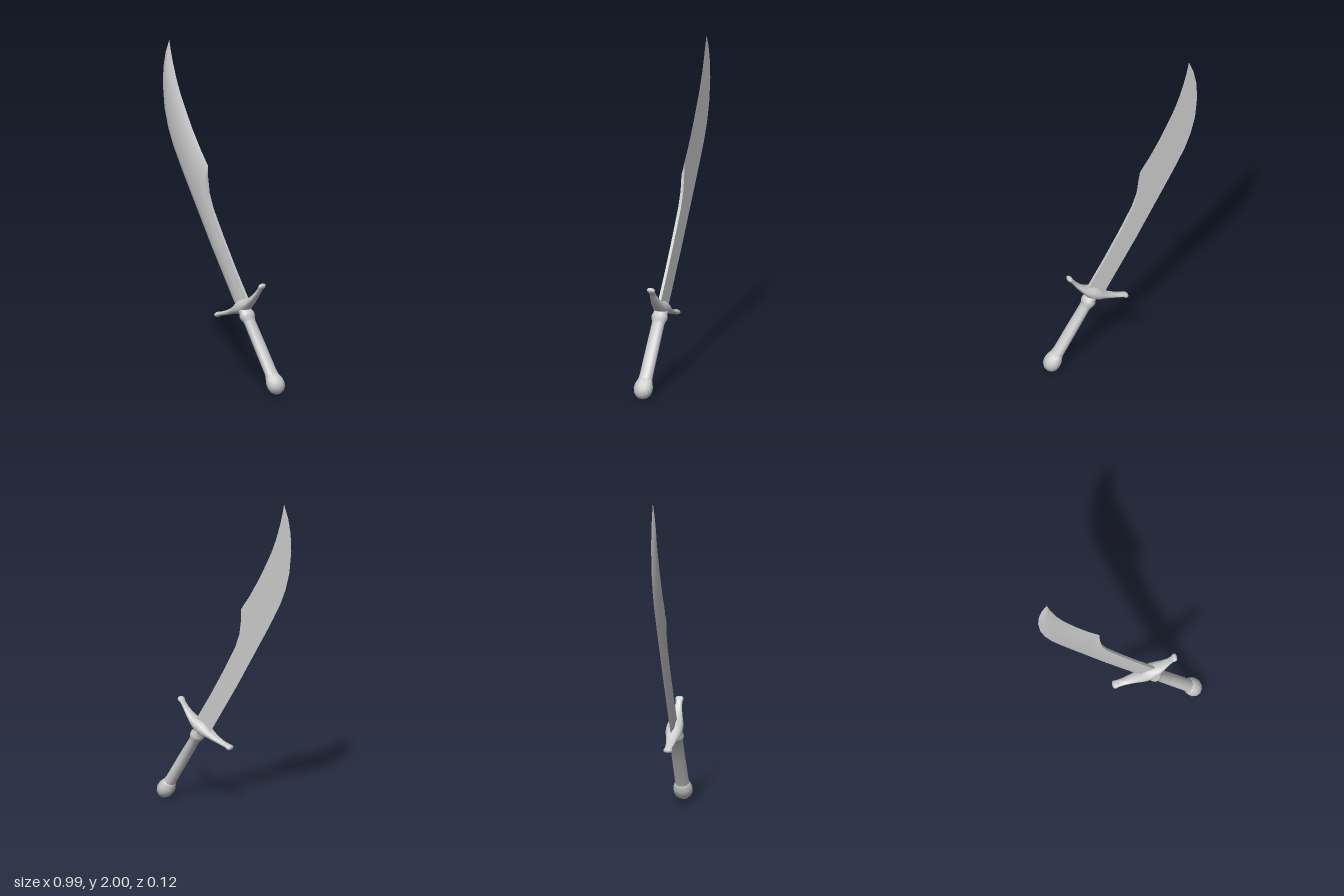
import * as THREE from 'three';
import { toCreasedNormals } from 'three/addons/utils/BufferGeometryUtils.js';

const BACK = -0.01, FRONT = 0.008;

// Skin a series of equal-length rings and close both ends.
function skin(rings, crease) {
  const n = rings[0].length, pos = [], idx = [];
  rings.forEach(r => r.forEach(p => pos.push(p.x, p.y, p.z)));
  for (let i = 0; i < rings.length - 1; i++) {
    for (let j = 0; j < n; j++) {
      const k = (j + 1) % n;
      const a = i * n + j, b = i * n + k, c = a + n, d = b + n;
      idx.push(a, b, d, a, d, c);
    }
  }
  [0, rings.length - 1].forEach(i => {
    const mid = new THREE.Vector3();
    rings[i].forEach(p => mid.addScaledVector(p, 1 / n));
    const m = pos.push(mid.x, mid.y, mid.z) / 3 - 1;
    for (let j = 0; j < n; j++) {
      const a = i * n + j, b = i * n + (j + 1) % n;
      if (i === 0) idx.push(m, b, a); else idx.push(m, a, b);
    }
  });
  const g = new THREE.BufferGeometry();
  g.setAttribute('position', new THREE.Float32BufferAttribute(pos, 3));
  g.setIndex(idx);
  return toCreasedNormals(g, crease);
}

// Elliptical rod through stations [x, y, half width in plane, half depth].
function rod(stations, sides) {
  const last = stations.length - 1;
  return skin(stations.map(([x, y, w, d], i) => {
    const p = stations[Math.max(i - 1, 0)], q = stations[Math.min(i + 1, last)];
    const t = new THREE.Vector2(q[0] - p[0], q[1] - p[1]).normalize();
    return Array.from({ length: sides }, (_, j) => {
      const a = j / sides * Math.PI * 2, c = Math.cos(a) * w;
      return new THREE.Vector3(x - t.y * c, y + t.x * c, Math.sin(a) * d);
    });
  }), 1.3);
}

function bladeGeometry() {
  // Cutting edge x, y, spine x, y, then 1 where the spine is a square wall.
  const stations = [
    [0.10, 0.48, 0.204, 0.542, 1],
    [0.00, 0.645, 0.103, 0.706, 1],
    [-0.10, 0.81, 0.00, 0.886, 1],
    [-0.20, 0.985, -0.082, 1.04, 1],
    [-0.243, 1.06, -0.114, 1.13, 1],
    [-0.283, 1.13, -0.127, 1.225, 1],
    [-0.312, 1.18, -0.127, 1.288, 0],
    [-0.362, 1.27, -0.188, 1.378, 0],
    [-0.415, 1.37, -0.257, 1.495, 0],
    [-0.455, 1.47, -0.31, 1.598, 0],
    [-0.484, 1.58, -0.352, 1.685, 0],
    [-0.498, 1.72, -0.385, 1.77, 0],
    [-0.493, 1.83, -0.413, 1.86, 0],
    [-0.475, 1.92, -0.431, 1.93, 0],
    [-0.445, 2.00, -0.445, 2.00, 0],
  ];
  return skin(stations.map(([lx, ly, rx, ry, wall]) => {
    const width = Math.hypot(rx - lx, ry - ly);
    const bevel = width ? Math.min(0.035 / width, 0.45) : 0;
    const at = (s, z) => new THREE.Vector3(lx + (rx - lx) * s, ly + (ry - ly) * s, z);
    const ridge = width ? Math.min(FRONT, BACK + width * 0.25) : BACK;
    return [at(0, BACK), at(bevel, ridge), at(1 - bevel, ridge),
      at(1, wall ? FRONT : BACK), at(1, BACK)];
  }), 0.75);
}

export function createModel() {
  const group = new THREE.Group();
  const material = new THREE.MeshStandardMaterial({ color: 0xcccccc });
  const add = (name, geometry) => {
    const mesh = new THREE.Mesh(geometry, material);
    mesh.name = name;
    group.add(mesh);
  };

  add('blade', bladeGeometry());

  // Crossguard: curved arms with small knobs and a swollen middle
  add('crossguard', rod([
    [-0.050, 0.402, 0.006, 0.012],
    [-0.045, 0.404, 0.013, 0.024],
    [-0.033, 0.408, 0.016, 0.027],
    [-0.018, 0.414, 0.012, 0.023],
    [0.02, 0.424, 0.013, 0.024],
    [0.07, 0.442, 0.017, 0.031],
    [0.11, 0.460, 0.023, 0.041],
    [0.14, 0.474, 0.036, 0.048],
    [0.168, 0.489, 0.042, 0.050],
    [0.196, 0.506, 0.036, 0.049],
    [0.225, 0.525, 0.024, 0.043],
    [0.26, 0.556, 0.017, 0.031],
    [0.29, 0.591, 0.013, 0.022],
    [0.312, 0.621, 0.012, 0.020],
    [0.324, 0.636, 0.016, 0.026],
    [0.333, 0.645, 0.012, 0.022],
    [0.337, 0.649, 0.005, 0.010],
  ], 14));

  // Grip with collar: distance along the axis, half width, half depth
  const along = ([t, w, d]) => [0.175 + 0.526 * t, 0.485 - 0.85 * t, w, d];
  add('grip', rod([
    [0.0, 0.034, 0.044], [0.03, 0.034, 0.043], [0.045, 0.042, 0.049],
    [0.062, 0.042, 0.049], [0.08, 0.033, 0.042], [0.095, 0.029, 0.039],
    [0.25, 0.032, 0.040], [0.41, 0.032, 0.041], [0.45, 0.036, 0.044],
  ].map(along), 14));

  // Rounded pommel
  add('pommel', rod([
    [0.435, 0.033, 0.042], [0.455, 0.041, 0.049], [0.475, 0.049, 0.056],
    [0.502, 0.051, 0.058], [0.528, 0.045, 0.051], [0.548, 0.030, 0.034],
    [0.557, 0.012, 0.014],
  ].map(along), 12));

  return group;
}
